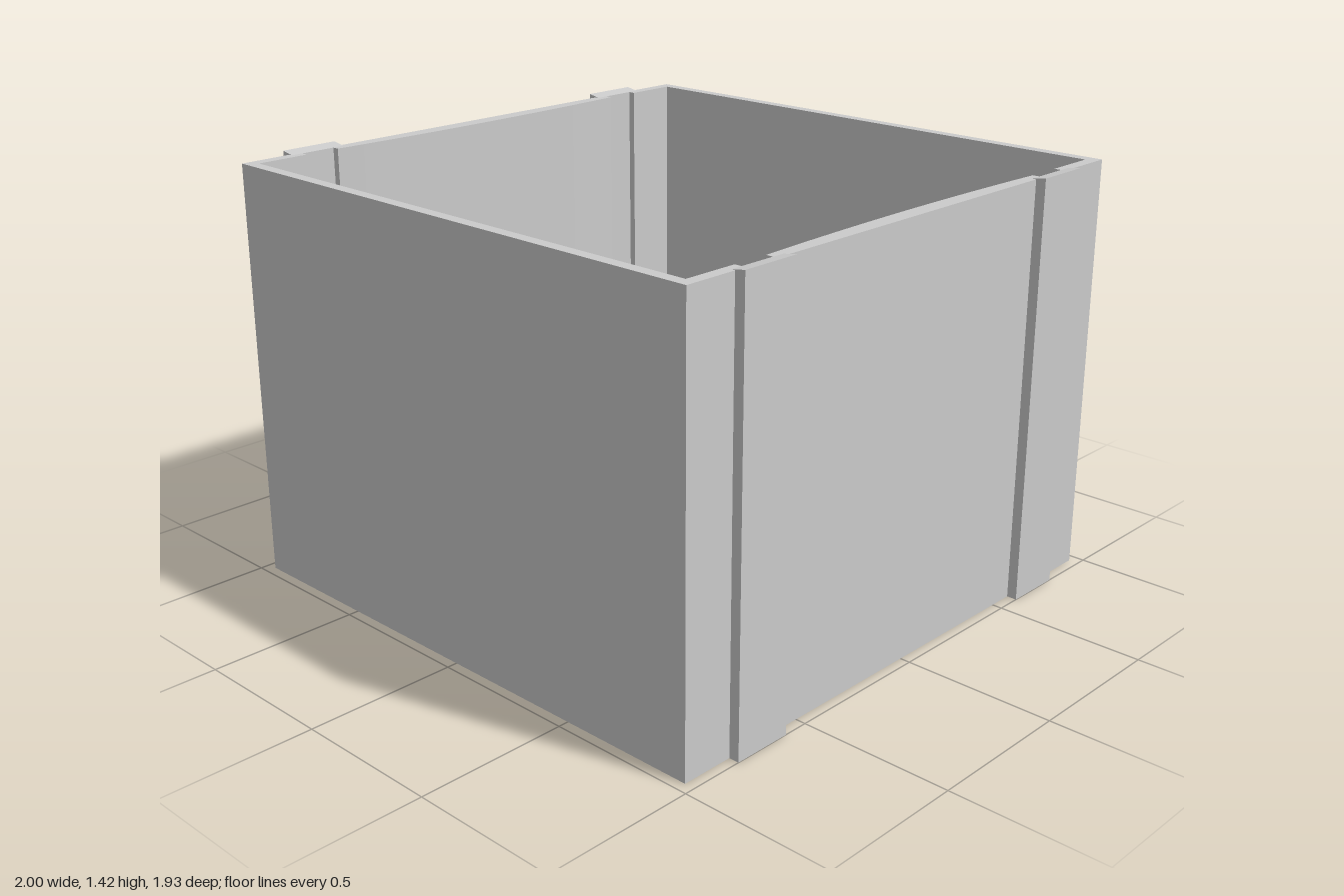
import * as THREE from 'three';

const W = 0.966;            // half width and depth of the box
const RIM = 1.41;           // rim height
const BASE = 0.03;          // base slab thickness
const IN = 0.928;           // half size of the inside
const RIB = [0.585, 0.787]; // rib extent along z
const SLOT = [0.625, 0.747];// slot extent along z, inside each rib

const material = new THREE.MeshStandardMaterial({ color: 0xcccccc, flatShading: true });

// Mirrors one quadrant (x, z from the middle to the corner) into a closed outline
function mirrored(quadrant) {
  const v = (sx, sz) => quadrant.map(([x, z]) => new THREE.Vector2(x * sx, z * sz));
  return [...v(1, 1), ...v(-1, 1).reverse(), ...v(-1, -1), ...v(1, -1).reverse()];
}

// Extrudes a plan outline from height y0 to y1
function plan(shape, y0, y1) {
  const g = new THREE.ExtrudeGeometry(shape, { depth: y1 - y0, bevelEnabled: false });
  return g.rotateX(Math.PI / 2).translate(0, y1, 0);
}

// Outer outline with the four ribs standing out of the sides
const outer = mirrored([[W, 0.01], [W, RIB[0]], [1, RIB[0]], [1, RIB[1]], [W, RIB[1]], [W, W]]);

// Inner outline: side walls bow inwards, with a slot behind each rib
const bow = [];
for (let i = 0; i <= 6; i++) {
  const t = 0.02 + 0.98 * (i / 6);
  bow.push([0.91 + (IN - 0.91) * t * t, SLOT[0] * t]);
}
const inner = mirrored([...bow, [0.952, SLOT[0]], [0.952, SLOT[1]], [IN, SLOT[1]], [IN, IN]]);

export function createModel() {
  const model = new THREE.Group();
  model.name = 'openBox';
  const add = (name, geometry) => {
    const mesh = new THREE.Mesh(geometry, material);
    mesh.name = name;
    model.add(mesh);
    return mesh;
  };

  add('base', plan(new THREE.Shape(outer), 0, BASE));

  const wallShape = new THREE.Shape(outer);
  wallShape.holes.push(new THREE.Path(inner));
  add('walls', plan(wallShape, BASE, RIM));

  // Floor, falling gently towards the front and back
  const floorProfile = new THREE.Shape([
    [-0.94, BASE], [0.94, BASE], [0.94, 0.04], [0.77, 0.055], [-0.77, 0.055], [-0.94, 0.04],
  ].map(([z, y]) => new THREE.Vector2(z, y)));
  const floor = new THREE.ExtrudeGeometry(floorProfile, { depth: 1.908, bevelEnabled: false });
  add('floor', floor.translate(0, 0, -0.954).rotateY(Math.PI / 2));

  // Slightly raised, sloping tops of the ribs
  const capProfile = new THREE.Shape([
    [0.953, RIM], [1, RIM], [1, RIM + 0.008],
  ].map(([x, y]) => new THREE.Vector2(x, y)));
  const width = RIB[1] - RIB[0];
  for (const side of [0, 1]) {
    for (const z of [-RIB[1], RIB[0]]) {
      const cap = new THREE.ExtrudeGeometry(capProfile, { depth: width, bevelEnabled: false });
      cap.translate(0, 0, z);
      if (side) cap.rotateY(Math.PI);
      add('ribCap', cap);
    }
  }
  return model;
}
